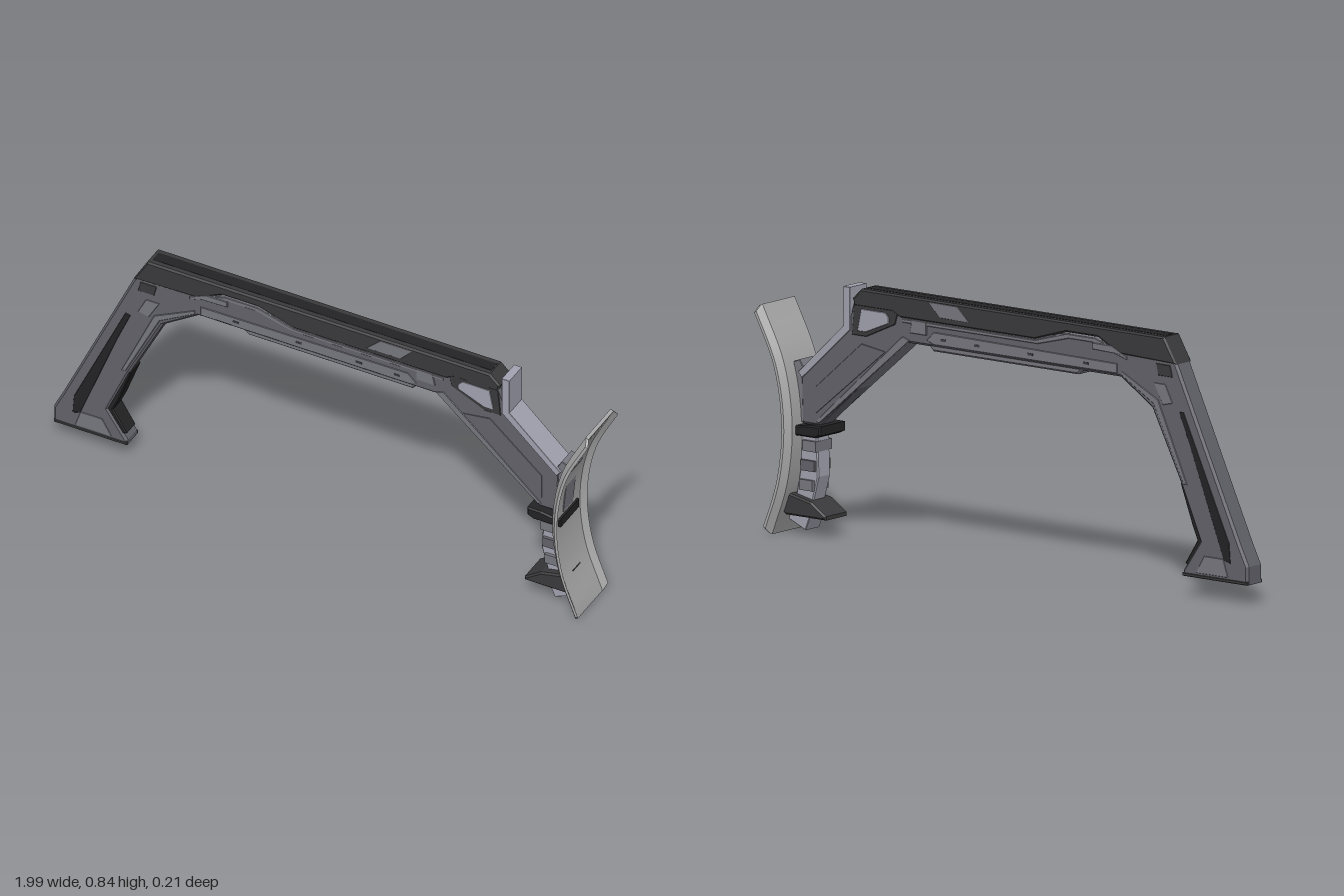
import * as THREE from 'three';
import { toCreasedNormals } from 'three/addons/utils/BufferGeometryUtils.js';

const DARK = 0x3a3a3c, BLACK = 0x232325, BODY = 0x62626a, MID = 0x77777f, LIGHT = 0xa2a2b0, SHIELD = 0xa8a8a8;

export function createModel() {
  const model = new THREE.Group();

  const add = (name, geometry, color) => {
    const mesh = new THREE.Mesh(geometry, new THREE.MeshStandardMaterial({ color, side: THREE.DoubleSide }));
    mesh.name = name;
    model.add(mesh);
    return mesh;
  };

  // A side outline (x, y) extruded symmetrically to z = +-half, with chamfered edges
  const slab = (name, points, half, color, bevel = 0.002) => {
    const shape = new THREE.Shape(points.map(([x, y]) => new THREE.Vector2(x, y)));
    const g = new THREE.ExtrudeGeometry(shape, {
      depth: 2 * (half - bevel), bevelEnabled: true, bevelThickness: bevel,
      bevelSize: bevel, bevelOffset: -bevel, bevelSegments: 1,
    });
    g.translate(0, 0, bevel - half);
    return add(name, g, color);
  };

  // Main arch: foot, sloping leg, beam and far arm
  slab('archFrame', [
    [-1, 0.07], [-0.73, 0.07], [-0.73, 0.087], [-0.8, 0.19], [-0.725, 0.36], [-0.6, 0.605],
    [-0.47, 0.69], [0.42, 0.69], [0.78, 0.37], [0.85, 0.37], [0.855, 0.54], [0.82, 0.56],
    [0.665, 0.71], [0.635, 0.8], [-0.66, 0.8], [-0.705, 0.76], [-0.965, 0.2], [-1, 0.13],
  ], 0.038, BODY, 0.008);

  // Dark cover along the top
  slab('topCover', [
    [-0.705, 0.76], [-0.655, 0.845], [0.6, 0.845], [0.637, 0.81], [0.63, 0.785], [0.47, 0.785],
    [0.44, 0.77], [-0.12, 0.77], [-0.25, 0.81], [-0.38, 0.81], [-0.47, 0.765],
  ], 0.042, DARK, 0.006);
  add('topStrip', new THREE.BoxGeometry(1.24, 0.004, 0.04).translate(-0.025, 0.844, 0), BLACK);
  slab('coverPatch', [[0.15, 0.79], [0.2, 0.838], [0.32, 0.838], [0.275, 0.79]], 0.0432, MID);
  slab('coverTrim', [[-0.49, 0.765], [-0.44, 0.79], [-0.36, 0.79], [-0.36, 0.768]], 0.0432, MID);
  slab('shoulderPanel', [[-0.69, 0.715], [-0.68, 0.755], [-0.62, 0.755], [-0.63, 0.715]], 0.0395, DARK);

  // Beam trim and the raised rail beneath it
  slab('beamUpperTrim', [[-0.5, 0.75], [-0.36, 0.79], [-0.26, 0.79], [-0.13, 0.756], [0.43, 0.756],
    [0.43, 0.768], [-0.12, 0.768], [-0.25, 0.805], [-0.37, 0.805], [-0.5, 0.762]], 0.0405, MID);
  slab('beamSidePanel', [[-0.46, 0.7], [-0.46, 0.733], [0.3, 0.74], [0.33, 0.71], [0.3, 0.698]], 0.04, MID);
  slab('underRail', [[-0.31, 0.69], [-0.29, 0.674], [0.31, 0.674], [0.335, 0.7], [-0.31, 0.7]], 0.032, MID, 0.006);
  slab('beamJoint', [[0.33, 0.725], [0.33, 0.77], [0.39, 0.77], [0.4, 0.725]], 0.041, MID);
  for (const x of [-0.33, -0.1, 0.12, 0.26]) {
    add('beamBolt', new THREE.BoxGeometry(0.022, 0.008, 0.082).translate(x, 0.718, 0), DARK);
  }

  // Framed side window near the far arm
  slab('windowFrame', [[0.45, 0.78], [0.47, 0.795], [0.63, 0.795], [0.64, 0.69], [0.58, 0.69], [0.46, 0.745]], 0.0405, DARK);
  slab('windowPanel', [[0.485, 0.765], [0.5, 0.78], [0.6, 0.78], [0.615, 0.705], [0.58, 0.705], [0.485, 0.745]], 0.042, LIGHT);

  // Sloping leg details
  slab('legDarkStrip', [[-0.93, 0.13], [-0.925, 0.2], [-0.735, 0.61], [-0.715, 0.605], [-0.76, 0.5], [-0.9, 0.14]], 0.039, BLACK);
  slab('legInnerTrim', [[-0.75, 0.37], [-0.735, 0.37], [-0.61, 0.62], [-0.48, 0.695], [-0.48, 0.71], [-0.63, 0.635]], 0.04, MID);
  slab('legSleeve', [[-0.815, 0.18], [-0.825, 0.21], [-0.745, 0.37], [-0.715, 0.37], [-0.765, 0.235],
    [-0.785, 0.19], [-0.735, 0.11], [-0.755, 0.1]], 0.032, BLACK, 0.004);
  slab('footPanel', [[-0.92, 0.085], [-0.9, 0.145], [-0.82, 0.145], [-0.785, 0.085]], 0.0395, MID);
  slab('footSole', [[-0.998, 0.069], [-0.998, 0.08], [-0.73, 0.08], [-0.73, 0.069]], 0.04, DARK);
  slab('legKneePanel', [[-0.69, 0.63], [-0.66, 0.69], [-0.61, 0.69], [-0.65, 0.62]], 0.0395, MID);

  // Upright post running down into the pale strip on top of the far arm
  slab('postAndArmStrip', [
    [0.645, 0.845], [0.673, 0.845], [0.673, 0.715], [0.86, 0.54], [0.845, 0.522], [0.645, 0.705],
  ], 0.043, LIGHT, 0.001);
  slab('armPanel', [[0.5, 0.65], [0.6, 0.665], [0.79, 0.5], [0.79, 0.41]], 0.0395, BODY);
  slab('armLowerTrim', [[0.4, 0.7], [0.43, 0.71], [0.79, 0.385], [0.775, 0.38]], 0.04, MID);

  // Hinge clamp passing through the shield
  slab('clamp', [[0.75, 0.345], [0.75, 0.375], [0.8, 0.375], [0.84, 0.368], [0.872, 0.368], [0.872, 0.335], [0.77, 0.335]], 0.067, BLACK, 0.005);
  slab('shieldBracket', [[0.83, 0.375], [0.865, 0.375], [0.885, 0.57], [0.86, 0.58], [0.83, 0.53]], 0.035, MID);

  // Stacked support below the clamp
  slab('lowerSupport', [[0.79, 0.34], [0.855, 0.34], [0.86, 0.22], [0.885, 0.09], [0.82, 0.07], [0.785, 0.2]], 0.032, LIGHT, 0.004);
  [0.3, 0.235, 0.17].forEach((y, i) => {
    add('supportCollar', new THREE.BoxGeometry(0.055, 0.035, 0.085).translate(0.815 + i * 0.007, y, 0), i === 1 ? BODY : MID);
  });
  slab('lowerFin', [[0.735, 0.067], [0.735, 0.08], [0.795, 0.12], [0.89, 0.14], [0.915, 0.075], [0.9, 0.067]], 0.058, DARK, 0.006);
  slab('lowerPeg', [[0.815, 0.07], [0.835, 0.02], [0.905, 0.05], [0.89, 0.1]], 0.036, LIGHT);

  add('shield', shieldGeometry(), SHIELD);
  // Small inlays on the shield's hollow face
  add('shieldInlay', new THREE.BoxGeometry(0.012, 0.014, 0.084).rotateZ(-0.36).translate(0.888, 0.552, 0), LIGHT);
  add('shieldSeam', new THREE.BoxGeometry(0.008, 0.004, 0.05).rotateZ(0.3).translate(0.893, 0.14, 0), DARK);

  return model;
}

// Curved plate lofted along a side profile, with flanged edges and clipped corners
function shieldGeometry() {
  const spine = new THREE.CatmullRomCurve3([
    [0.975, 0.755], [0.885, 0.57], [0.852, 0.37], [0.872, 0.18], [0.935, 0.002],
  ].map(([x, y]) => new THREE.Vector3(x, y, 0)));
  const stops = [0, 0.02];
  for (let i = 1; i < 24; i++) stops.push(0.02 + 0.96 * i / 24);
  stops.push(0.98, 1);

  const positions = [], index = [];
  stops.forEach((t, r) => {
    const p = spine.getPointAt(t), d = spine.getTangentAt(t);
    const n = new THREE.Vector2(-d.y, d.x);
    const end = r === 0 || r === stops.length - 1;
    const w = end ? 0.086 : 0.104, lip = end ? 0.003 : 0.018;
    // Closed section as [z, offset from the spine]
    const section = [[-w, lip], [-0.083, 0], [0.083, 0], [w, lip],
      [w, lip + 0.01], [0.083, 0.012], [-0.083, 0.012], [-w, lip + 0.01]];
    for (const [z, o] of section) positions.push(p.x + n.x * o, p.y + n.y * o, z);
  });
  for (let r = 0; r < stops.length - 1; r++) {
    for (let k = 0; k < 8; k++) {
      const a = r * 8 + k, b = r * 8 + (k + 1) % 8;
      index.push(a, b, a + 8, b, b + 8, a + 8);
    }
  }
  // End caps
  const last = (stops.length - 1) * 8;
  for (const k of [0, 1, 2]) {
    const a = k, b = k + 1, c = 6 - k, d = 7 - k;
    index.push(a, d, b, b, d, c);
    index.push(last + a, last + b, last + d, last + b, last + c, last + d);
  }
  // Wind every face outward
  for (let i = 0; i < index.length; i += 3) [index[i + 1], index[i + 2]] = [index[i + 2], index[i + 1]];
  const g = new THREE.BufferGeometry();
  g.setAttribute('position', new THREE.Float32BufferAttribute(positions, 3));
  g.setIndex(index);
  return toCreasedNormals(g, 0.4);
}
